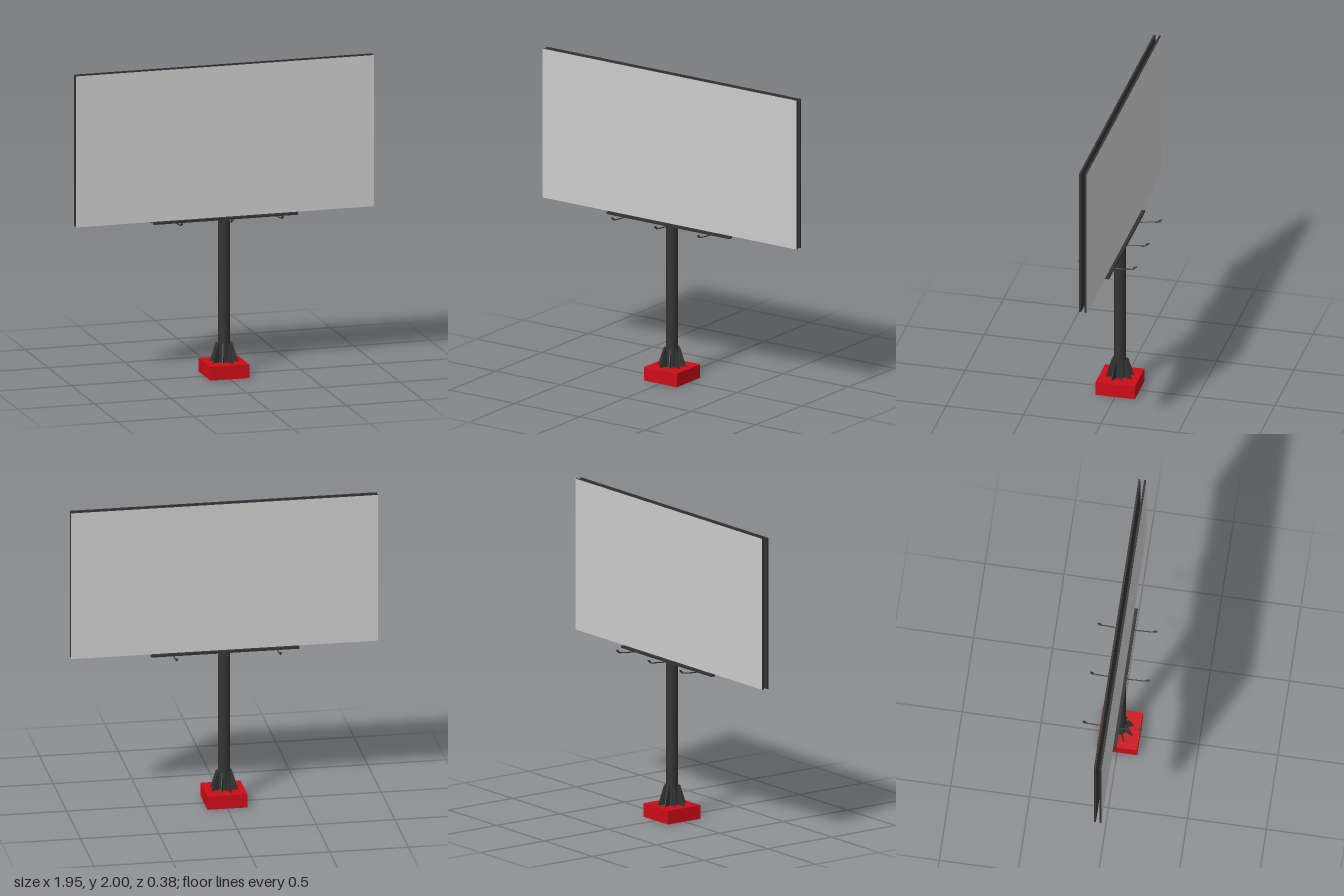
import * as THREE from 'three';

export function createModel() {
  const model = new THREE.Group();
  const dark = new THREE.MeshStandardMaterial({ color: 0x333333 });
  const red = new THREE.MeshStandardMaterial({ color: 0xcc0c16 });
  const grey = new THREE.MeshStandardMaterial({ color: 0xcccccc });

  const add = (name, geometry, material, x = 0, y = 0, z = 0) => {
    const mesh = new THREE.Mesh(geometry, material);
    mesh.name = name;
    mesh.position.set(x, y, z);
    model.add(mesh);
    return mesh;
  };
  const box = (name, w, h, d, material, x, y, z) =>
    add(name, new THREE.BoxGeometry(w, h, d), material, x, y, z);

  // Footing and pole
  box('footing', 0.254, 0.088, 0.254, red, 0, 0.044, 0);
  add('pole', new THREE.CylinderGeometry(0.039, 0.039, 0.93, 32), dark, 0, 0.55, 0);

  // Eight tapered stiffeners around the foot of the pole
  const fin = new THREE.Shape([
    new THREE.Vector2(0.03, 0.085), new THREE.Vector2(0.091, 0.085),
    new THREE.Vector2(0.052, 0.21), new THREE.Vector2(0.03, 0.21),
  ]);
  const finGeometry = new THREE.ExtrudeGeometry(fin, { depth: 0.006, bevelEnabled: false });
  finGeometry.translate(0, 0, -0.003);
  for (let i = 0; i < 8; i++) {
    add('stiffener', finGeometry, dark).rotation.y = (i + 0.5) * Math.PI / 4;
  }

  // Cross members joining the two walkway beams
  box('centreCrossMember', 0.254, 0.012, 0.04, dark, 0, 1.016, 0);
  for (const s of [-1, 1]) box('sideCrossMember', 0.09, 0.012, 0.04, dark, s * 0.375, 1.016, 0);

  const lampGeometry = new THREE.SphereGeometry(1, 14, 10);
  lampGeometry.scale(0.008, 0.006, 0.014);

  for (const s of [-1, 1]) {
    // Back-to-back panels, each a dark frame with a pale face
    box('panelFrame', 1.952, 0.975, 0.013, dark, 0, 1.5125, s * 0.0175);
    const face = add('panelFace', new THREE.PlaneGeometry(1.952, 0.975), grey, 0, 1.5125, s * 0.0248);
    if (s < 0) face.rotation.y = Math.PI;

    // Walkway beam below the panel
    box('walkwayBeam', 0.944, 0.014, 0.027, dark, 0, 1.017, s * 0.0315);

    // Curved lamp arms with small heads
    for (const x of [-0.33, 0, 0.33]) {
      const path = new THREE.CatmullRomCurve3([
        new THREE.Vector3(x, 1.014, 0), new THREE.Vector3(x, 1.015, s * 0.07),
        new THREE.Vector3(x, 1.022, s * 0.14), new THREE.Vector3(x, 1.026, s * 0.168),
        new THREE.Vector3(x, 1.036, s * 0.18),
      ]);
      add('lampArm', new THREE.TubeGeometry(path, 24, 0.0035, 8), dark);
      add('lampHead', lampGeometry, dark, x, 1.039, s * 0.178).rotation.x = -s * 0.5;
    }
  }
  return model;
}
